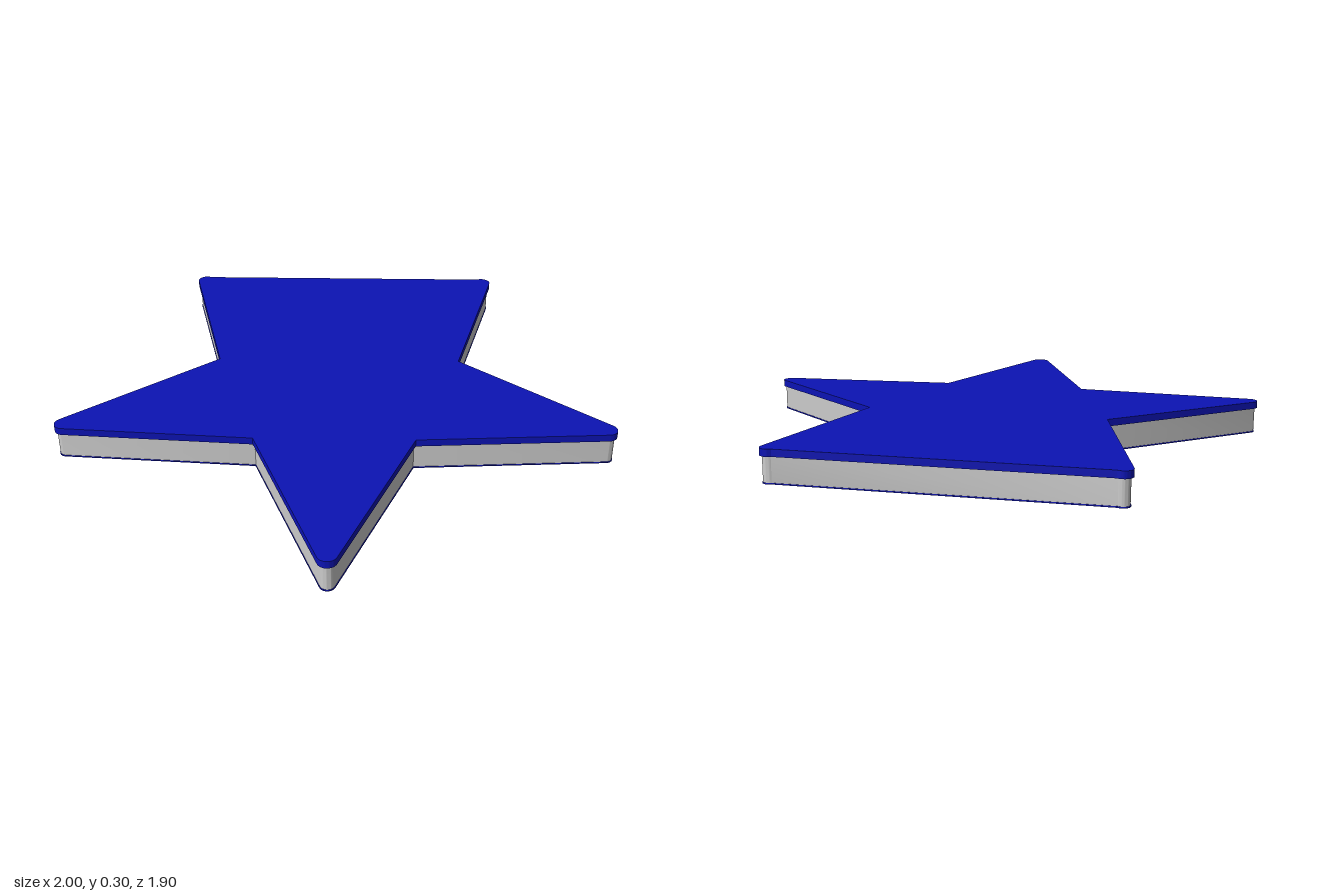
import * as THREE from 'three';
import { mergeGeometries, toCreasedNormals } from 'three/addons/utils/BufferGeometryUtils.js';

const CZ = 0.098;            // star centre along z
const TIP = 1.015, ROUND = 0.034, INNER = 0.485;
const BASE = 0.172;          // height of the flat underside
const APEX_Z = 0.12;
const STEP = Math.PI / 5;

// Five-pointed star with rounded tips, shrunk evenly by inset
function starShape(inset) {
  const r = INNER - inset / 0.82, rad = ROUND - inset;
  const dx = TIP - r * Math.cos(STEP), dy = r * Math.sin(STEP);
  const alpha = Math.atan2(dy, dx) - Math.asin(rad / Math.hypot(dx, dy));
  const phi = Math.PI / 2 - alpha;
  const shape = new THREE.Shape();
  for (let k = 0; k < 5; k++) {
    const a = -Math.PI / 2 + k * 2 * STEP;
    const ix = r * Math.cos(a - STEP), iy = r * Math.sin(a - STEP);
    if (k === 0) shape.moveTo(ix, iy); else shape.lineTo(ix, iy);
    shape.absarc(TIP * Math.cos(a), TIP * Math.sin(a), rad, a - phi, a + phi, false);
  }
  shape.closePath();
  return shape;
}

// Horizontal star slab between two heights
function slab(name, inset, bottom, top, material) {
  const flat = new THREE.ExtrudeGeometry(starShape(inset), {
    depth: top - bottom, bevelEnabled: false, curveSegments: 10,
  });
  flat.rotateX(Math.PI / 2);
  flat.translate(0, top, CZ);
  const mesh = new THREE.Mesh(toCreasedNormals(flat, 0.5), material);
  mesh.name = name;
  return mesh;
}

// Height of the underside, following the pyramid facets inside the pentagon
function undersideHeight(x, z) {
  let t = 0;
  for (let k = 0; k < 5; k++) {
    const a = -Math.PI / 2 + k * 2 * STEP;
    const nx = Math.cos(a), nz = Math.sin(a);
    const reach = INNER * Math.cos(STEP) + (CZ - APEX_Z) * nz;
    t = Math.max(t, (x * nx + (z - APEX_Z) * nz) / reach);
  }
  return BASE * Math.min(t, 1);
}

// True when a point lies inside the star, clear of its edge
function insideStar(x, z, margin) {
  const radius = Math.hypot(x, z - CZ);
  let a = Math.atan2(z - CZ, x) + Math.PI / 2 + 4 * Math.PI;
  a = a % (2 * STEP);
  a = Math.min(a, 2 * STEP - a);
  const px = radius * Math.cos(a), py = radius * Math.sin(a);
  const tip = TIP + 0.08;
  const ex = INNER * Math.cos(STEP) - tip, ey = INNER * Math.sin(STEP);
  const dist = (ex * py - ey * (px - tip)) / Math.hypot(ex, ey);
  return dist > margin && px < TIP;
}

export function createModel() {
  const group = new THREE.Group();
  group.name = 'starPlatform';
  const blue = new THREE.MeshStandardMaterial({ color: 0x0c13b4 });
  const blueFacets = new THREE.MeshStandardMaterial({ color: 0x0c13b4, flatShading: true });
  const grey = new THREE.MeshStandardMaterial({ color: 0xcccccc });
  const pale = new THREE.MeshStandardMaterial({ color: 0xfff0b0 });

  // Stacked layers: lid, side band, underside sheet
  group.add(slab('topPlate', 0, 0.27, 0.297, blue));
  group.add(slab('sideBand', 0.009, BASE + 0.005, 0.27, grey));
  group.add(slab('bottomPlate', 0.007, BASE, BASE + 0.005, blue));

  // Downward five-sided pyramid spanning the inner corners
  const cone = new THREE.ConeGeometry(INNER - 0.008, BASE, 5, 1, true);
  cone.rotateX(Math.PI);
  cone.rotateY(Math.PI);
  cone.translate(0, BASE / 2, CZ);
  const pos = cone.attributes.position;
  for (let i = 0; i < pos.count; i++) {
    if (pos.getY(i) < 0.01) pos.setZ(i, APEX_Z);
  }
  const pyramid = new THREE.Mesh(cone, blueFacets);
  pyramid.name = 'undersidePyramid';
  group.add(pyramid);

  // Small lights in a staggered grid over the underside
  const dots = [];
  const gap = 0.13, row = gap * 0.87;
  for (let j = -9; j <= 9; j++) {
    for (let i = -9; i <= 9; i++) {
      const x = (i + (j & 1 ? 0.5 : 0)) * gap, z = CZ + j * row;
      if (!insideStar(x, z, 0.03)) continue;
      const y = Math.max(undersideHeight(x, z), 0.008);
      dots.push(new THREE.SphereGeometry(0.008, 8, 6).translate(x, y, z));
    }
  }
  const lights = new THREE.Mesh(mergeGeometries(dots), pale);
  lights.name = 'undersideLights';
  group.add(lights);
  return group;
}
